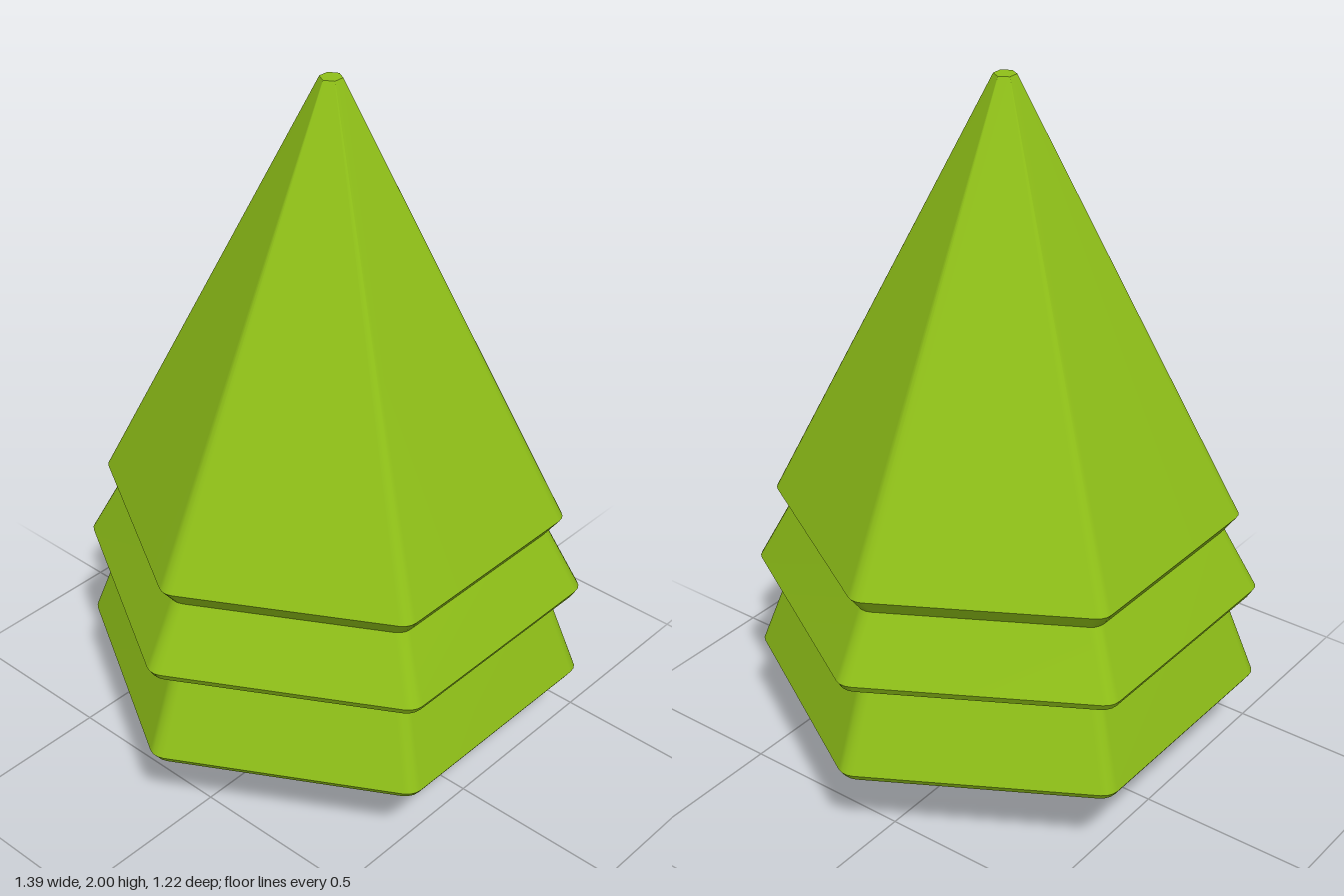
import * as THREE from 'three';

const SIDES = 6, ARC = 3;

// Hexagon with softly rounded corners; corners point along +x and -x
function roundedHex(apothem, y) {
  const r = apothem * 0.08;
  const d = (apothem - r) / Math.cos(Math.PI / SIDES);
  const ring = [];
  for (let k = 0; k < SIDES; k++) {
    const mid = (k * 2 * Math.PI) / SIDES;
    for (let s = 0; s <= ARC; s++) {
      const a = mid + (s / ARC - 0.5) * (2 * Math.PI / SIDES);
      ring.push(d * Math.cos(mid) + r * Math.cos(a), y, -d * Math.sin(mid) - r * Math.sin(a));
    }
  }
  return ring;
}

// Skin a profile of [apothem, y] pairs; bands share no vertices, so their edges stay sharp
function hexLoft(profile) {
  const n = SIDES * (ARC + 1);
  const pos = [], idx = [];
  for (let p = 0; p < profile.length - 1; p++) {
    const base = pos.length / 3;
    pos.push(...roundedHex(...profile[p]), ...roundedHex(...profile[p + 1]));
    for (let i = 0; i < n; i++) {
      const a = base + i, b = base + (i + 1) % n;
      if (profile[p][0] > 0) idx.push(a, b, b + n);
      if (profile[p + 1][0] > 0) idx.push(a, b + n, a + n);
      else if (profile[p][0] === 0) idx.push(a, b + n, a + n);
    }
  }
  const g = new THREE.BufferGeometry();
  g.setAttribute('position', new THREE.Float32BufferAttribute(pos, 3));
  g.setIndex(idx);
  g.computeVertexNormals();
  return g;
}

export function createModel() {
  const tree = new THREE.Group();
  tree.name = 'pineTree';

  const green = new THREE.MeshStandardMaterial({ color: 0x8fc018 });
  const brown = new THREE.MeshStandardMaterial({ color: 0x8a7c62 });

  // Three stacked tiers of foliage, from the underside to the blunt tip
  const foliage = new THREE.Mesh(hexLoft([
    [0, 0.265], [0.597, 0.265], [0.61, 0.285],   // bottom tier
    [0.535, 0.515], [0.515, 0.542],              // neck
    [0.592, 0.542], [0.605, 0.565],              // middle tier
    [0.522, 0.742], [0.555, 0.79],               // flare under the top tier
    [0.026, 2], [0, 2],                          // tip
  ]), green);
  foliage.name = 'foliage';
  tree.add(foliage);

  // Square trunk, running a little way into the foliage
  const trunk = new THREE.Mesh(new THREE.BoxGeometry(0.21, 0.28, 0.21), brown);
  trunk.name = 'trunk';
  trunk.position.y = 0.14;
  tree.add(trunk);

  return tree;
}
